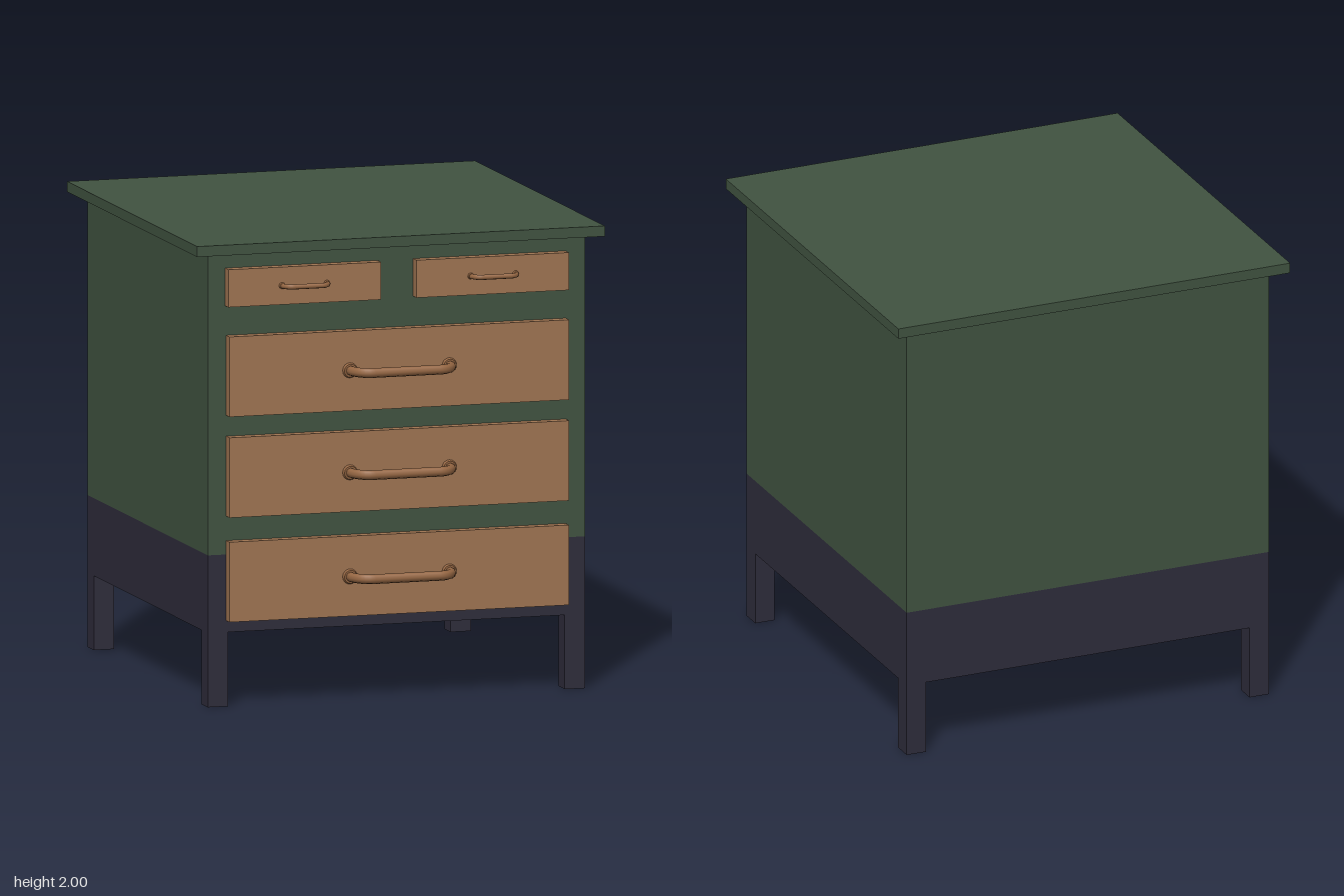
import * as THREE from 'three';

const material = (name, color) => {
  const m = new THREE.MeshStandardMaterial({ color });
  m.name = name;
  return m;
};

export function createModel() {
  const green = material('green paint', 0x415341);
  const navy = material('navy paint', 0x2e2c3b);
  const wood = material('drawer wood', 0xa07552);
  const bronze = material('handle bronze', 0x966743);

  const model = new THREE.Group();
  model.name = 'chestOfDrawers';

  const add = (parent, name, geometry, mat) => {
    const mesh = new THREE.Mesh(geometry, mat);
    mesh.name = name;
    parent.add(mesh);
    return mesh;
  };

  // Box given by its extents on each axis
  const box = (name, mat, [x0, x1], [y0, y1], [z0, z1]) => {
    const mesh = add(model, name, new THREE.BoxGeometry(x1 - x0, y1 - y0, z1 - z0), mat);
    mesh.position.set((x0 + x1) / 2, (y0 + y1) / 2, (z0 + z1) / 2);
    return mesh;
  };

  // Carcass: painted in two tones, with an overhanging top
  const W = 0.842, BACK = -0.895, FRONT = 0.797;
  box('base', navy, [-W, W], [0.32, 0.655], [BACK, FRONT]);
  box('body', green, [-W, W], [0.655, 1.955], [BACK, FRONT]);
  box('top', green, [-0.911, 0.911], [1.955, 2], [-0.964, 0.862]);

  // Legs
  const LEG = 0.09;
  for (const x of [-W, W - LEG])
    for (const z of [BACK, FRONT - LEG])
      box('leg', navy, [x, x + LEG], [0, 0.32], [z, z + LEG]);

  // Bow handle standing out from a drawer front
  const FACE = 0.843;
  const addHandle = (x, y, halfWidth, depth, radius, rosette) => {
    const handle = new THREE.Group();
    handle.name = 'handle';
    handle.position.set(x, y, FACE);
    const path = new THREE.CurvePath();
    const p = (px, pz) => new THREE.Vector3(px, 0, pz);
    const bend = depth * 0.75, inner = halfWidth - depth * 0.75;
    path.add(new THREE.LineCurve3(p(-halfWidth, 0), p(-halfWidth, depth - bend)));
    path.add(new THREE.QuadraticBezierCurve3(p(-halfWidth, depth - bend), p(-halfWidth + bend * 0.3, depth), p(-inner, depth)));
    path.add(new THREE.LineCurve3(p(-inner, depth), p(inner, depth)));
    path.add(new THREE.QuadraticBezierCurve3(p(inner, depth), p(halfWidth - bend * 0.3, depth), p(halfWidth, depth - bend)));
    path.add(new THREE.LineCurve3(p(halfWidth, depth - bend), p(halfWidth, 0)));
    add(handle, 'bow', new THREE.TubeGeometry(path, 48, radius, 8), bronze);
    for (const side of [-1, 1]) {
      const disc = add(handle, 'rosette', new THREE.CylinderGeometry(rosette * 0.85, rosette, 0.012, 16), bronze);
      disc.rotation.x = Math.PI / 2;
      disc.position.set(side * halfWidth, 0, 0.006);
    }
    model.add(handle);
  };

  // Three wide drawers
  for (const [y0, y1, handleY] of [[0.37, 0.715, 0.541], [0.82, 1.165, 0.99], [1.255, 1.6, 1.43]]) {
    box('wideDrawer', wood, [-0.76, 0.757], [y0, y1], [FRONT, FACE]);
    addHandle(0, handleY, 0.222, 0.1, 0.021, 0.033);
  }

  // Two small drawers
  for (const [x0, x1, handleX] of [[-0.765, -0.083, -0.425], [0.075, 0.757, 0.418]]) {
    box('smallDrawer', wood, [x0, x1], [1.728, 1.89], [FRONT, FACE]);
    addHandle(handleX, 1.81, 0.1, 0.05, 0.011, 0.014);
  }

  // The piece stands very slightly turned
  model.rotation.y = 0.004;
  return model;
}
